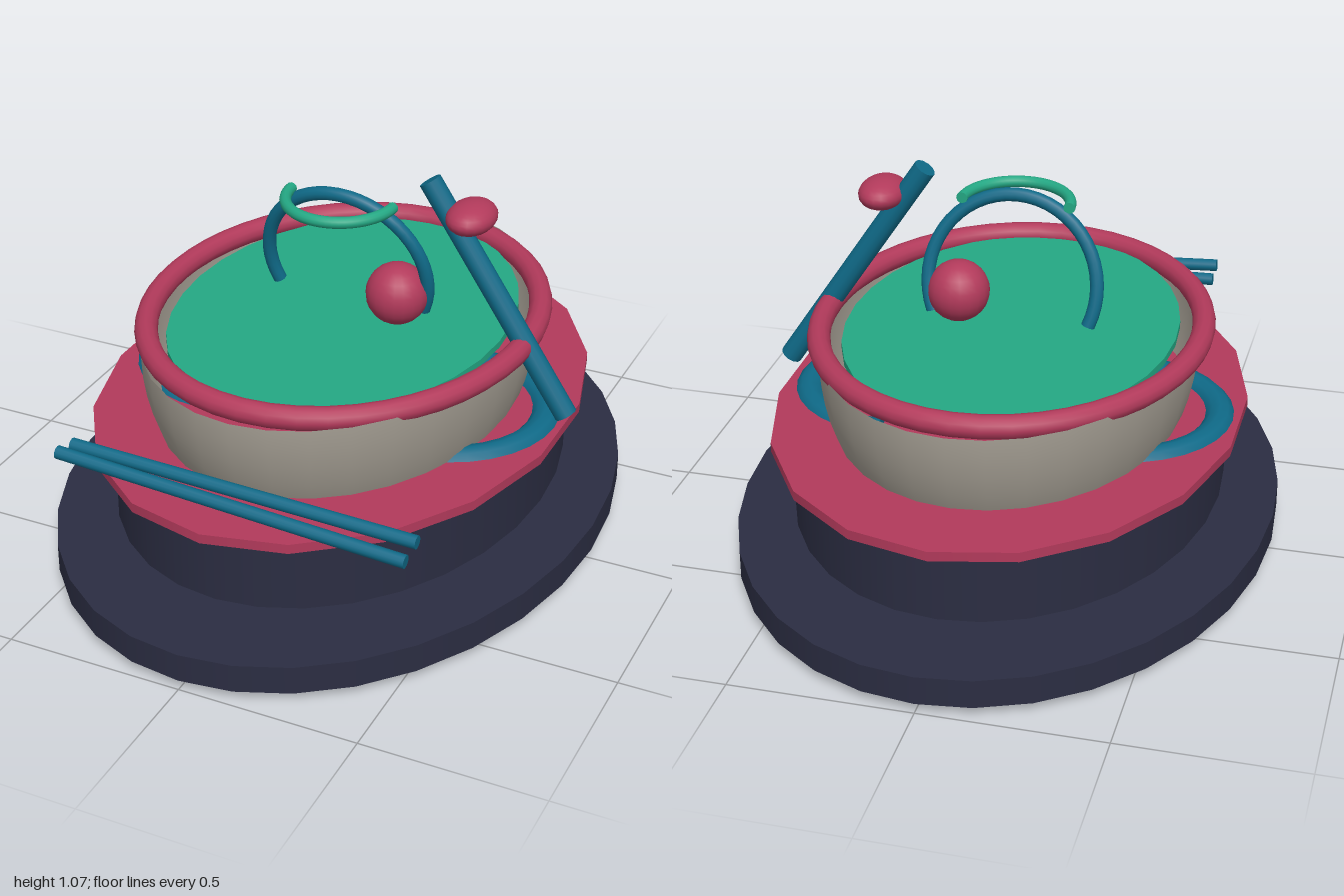
import * as THREE from 'three';

const mat = (name, color, side = THREE.FrontSide) => {
  const m = new THREE.MeshStandardMaterial({ color, side });
  m.name = name;
  return m;
};

export function createModel() {
  const model = new THREE.Group();
  const navy = mat('navy', 0x2b2d42);
  const red = mat('crimson', 0xb23a5b);
  const blue = mat('blue', 0x0f6a88);
  const green = mat('green', 0x24a884);
  const grey = mat('stoneGrey', 0xa39d92, THREE.DoubleSide);

  const add = (name, geometry, material, x = 0, y = 0, z = 0) => {
    const mesh = new THREE.Mesh(geometry, material);
    mesh.name = name;
    mesh.position.set(x, y, z);
    model.add(mesh);
    return mesh;
  };
  // Oval slab between two heights
  const slab = (name, material, rx, rz, y0, y1, sides = 32) =>
    add(name, new THREE.CylinderGeometry(1, 1, y1 - y0, sides).scale(rx, 1, rz), material, 0, (y0 + y1) / 2, 0);
  // Straight round bar between two points
  const rod = (name, a, b, r) => {
    const from = new THREE.Vector3(...a), to = new THREE.Vector3(...b);
    const dir = to.clone().sub(from);
    const mesh = add(name, new THREE.CylinderGeometry(r, r, dir.length(), 12), blue);
    mesh.position.copy(from).add(to).multiplyScalar(0.5);
    mesh.quaternion.setFromUnitVectors(new THREE.Vector3(0, 1, 0), dir.normalize());
    return mesh;
  };
  // Tube with closed ends, following point(t) for t from 0 to 1
  const tube = (name, material, point, r, closed = false, segments = 32) => {
    const points = [];
    const n = 32;
    for (let i = 0; i < (closed ? n : n + 1); i++) points.push(new THREE.Vector3(...point(i / n)));
    const curve = new THREE.CatmullRomCurve3(points, closed);
    add(name, new THREE.TubeGeometry(curve, segments, r, 12, closed), material);
    if (!closed) {
      for (const t of [0, 1]) {
        const cap = add(name + 'End', new THREE.CircleGeometry(r, 12), material);
        cap.position.copy(curve.getPoint(t));
        const out = curve.getTangent(t).multiplyScalar(t ? 1 : -1);
        cap.quaternion.setFromUnitVectors(new THREE.Vector3(0, 0, 1), out);
      }
    }
  };

  // Stacked oval base
  slab('basePlate', navy, 0.75, 1.0, 0.03, 0.11);
  slab('drum', navy, 0.595, 0.795, 0.15, 0.36);
  slab('collar', red, 0.652, 0.865, 0.365, 0.392, 18);

  // Open half-ellipsoid bowl, filling and rim
  add('bowl', new THREE.SphereGeometry(1, 32, 16, 0, Math.PI * 2, Math.PI / 2, Math.PI / 2)
    .scale(0.52, 0.62, 0.697), grey, 0, 0.622, 0);
  slab('filling', green, 0.457, 0.605, 0.60, 0.62);
  tube('rim', red, (t) => {
    const a = t * Math.PI * 2;
    return [0.525 * Math.sin(a), 0.623, 0.623 * Math.cos(a)];
  }, 0.032, true, 48);

  // Side handles, half rings lying flat
  for (const [name, s] of [['leftHandle', 1], ['rightHandle', -1]]) {
    tube(name, blue, (t) => {
      const a = (t - 0.5) * Math.PI;
      return [s * (0.305 + 0.28 * Math.cos(a)), 0.368, 0.275 * Math.sin(a)];
    }, 0.046, false, 16);
  }

  // Arched carrying handle leaning forward
  tube('archHandle', blue, (t) => {
    const a = -0.4 + t * (Math.PI + 0.8);
    const y = 0.742 + 0.24 * Math.sin(a);
    return [0.238 * Math.cos(a), y, 0.045 - 0.24 * (0.98 - y)];
  }, 0.019);

  // Half ring in front of the arch top
  tube('halfRing', green, (t) => {
    const a = t * Math.PI;
    return [0.15 * Math.cos(a), 0.965, 0.025 + 0.158 * Math.sin(a)];
  }, 0.016);

  // Round toppings
  add('ball', new THREE.SphereGeometry(0.087, 20, 14), red, 0.155, 0.7, 0);
  add('pebble', new THREE.SphereGeometry(1, 20, 14).scale(0.066, 0.043, 0.09), red, 0.366, 0.972, 0);

  // Leaning stirring stick and the pair of chopsticks
  rod('stirrer', [0.245, 1.053, 0], [0.655, 0.44, 0], 0.031);
  rod('frontChopstick', [-0.44, 0.488, 0.81], [0.54, 0.432, 0.81], 0.018);
  rod('backChopstick', [-0.44, 0.472, 0.739], [0.54, 0.445, 0.739], 0.018);

  return model;
}
